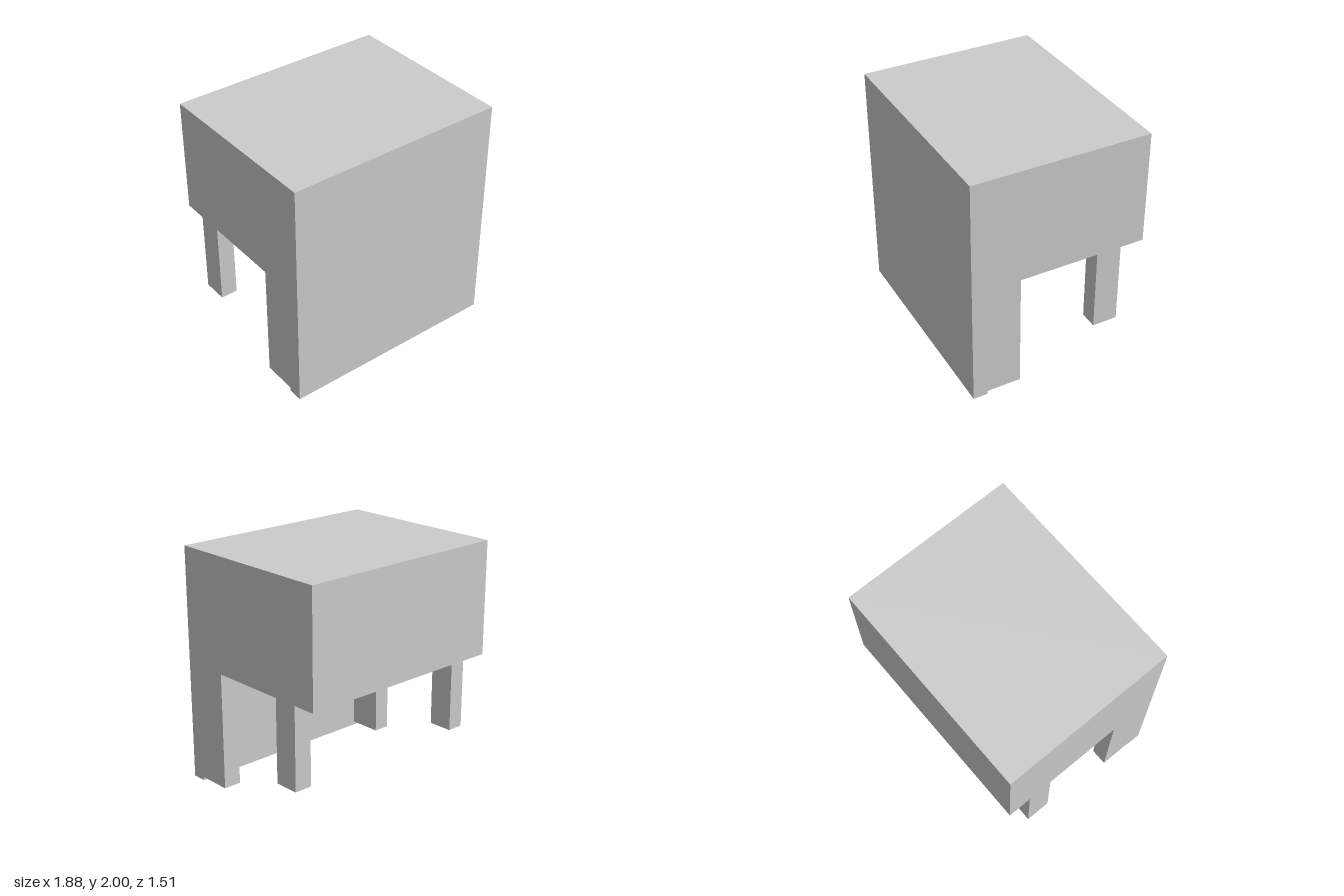
import * as THREE from 'three';

const material = new THREE.MeshStandardMaterial({ color: 0xcccccc, flatShading: true });

// Box given by its lower and upper limits on each axis
function block(name, [x0, x1], [y0, y1], [z0, z1]) {
  const mesh = new THREE.Mesh(new THREE.BoxGeometry(x1 - x0, y1 - y0, z1 - z0), material);
  mesh.position.set((x0 + x1) / 2, (y0 + y1) / 2, (z0 + z1) / 2);
  mesh.name = name;
  return mesh;
}

export function createModel() {
  const group = new THREE.Group();
  group.name = 'cabinet';
  const W = 0.94, bodyBottom = 1.03, panelBack = 0.63, front = 0.755;

  // Upper body, and the front panel that drops to the ground
  group.add(block('body', [-W, W], [bodyBottom, 2], [-0.755, front]));
  group.add(block('frontPanel', [-W, W], [0, bodyBottom], [panelBack, front]));

  // Legs flush with the sides; the front pair stands against the panel
  for (const [side, x] of [['left', [W - 0.155, W]], ['right', [-W, -W + 0.145]]]) {
    group.add(block(side + 'FrontLeg', x, [0.03, bodyBottom], [0.34, panelBack]));
    group.add(block(side + 'BackLeg', x, [0.32, bodyBottom], [-0.55, -0.335]));
  }
  return group;
}
